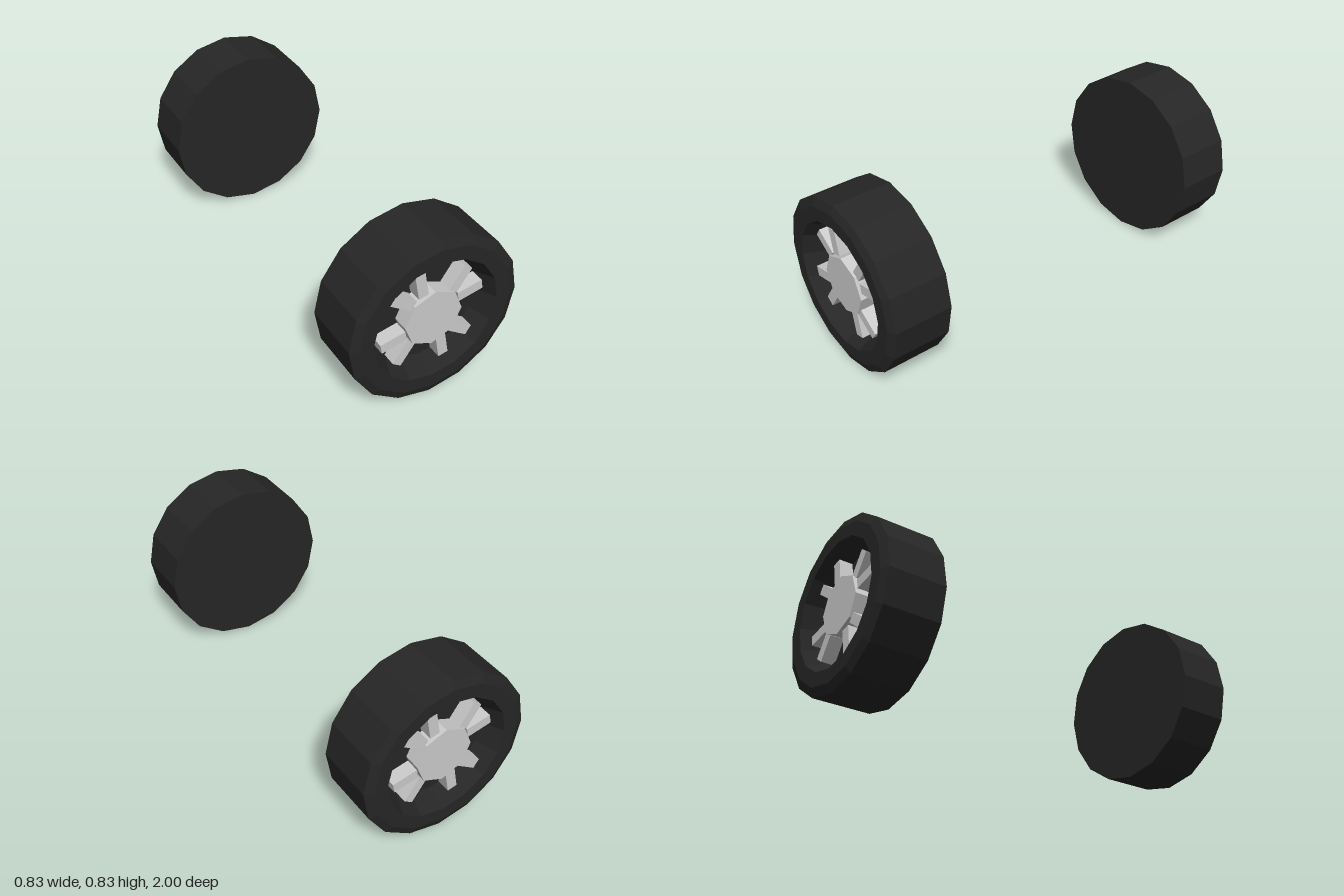
import * as THREE from 'three';

const RADIUS = 0.413;
const FLOOR = 0.9; // depth of the recessed wheel dish

const rubber = new THREE.MeshStandardMaterial({ color: 0x262626, flatShading: true });
const metal = new THREE.MeshStandardMaterial({ color: 0xcccccc, flatShading: true });

function part(name, geometry, material) {
  const mesh = new THREE.Mesh(geometry, material);
  mesh.name = name;
  return mesh;
}

function createWheel(name) {
  const wheel = new THREE.Group();
  wheel.name = name;

  // Tyre: closed back, bevelled shoulder, flat sidewall and sunken dish
  const profile = [
    [0, 0.705], [RADIUS, 0.705], [RADIUS, 0.983], [0.372, 1],
    [0.305, 1], [0.26, FLOOR], [0, FLOOR],
  ].map(([r, z]) => new THREE.Vector2(r, z));
  wheel.add(part('tyre', new THREE.LatheGeometry(profile, 16).rotateX(Math.PI / 2), rubber));

  // Octagonal hub
  const hub = part('hub', new THREE.CylinderGeometry(0.14, 0.14, 0.077, 8).rotateX(Math.PI / 2), metal);
  hub.position.z = FLOOR + 0.0375;
  wheel.add(hub);

  // Four V-shaped pairs of spokes, each spoke set slightly off the centre line
  const spokeGeometry = new THREE.BoxGeometry(0.122, 0.048, 0.066);
  for (let i = 0; i < 4; i++) {
    for (const side of [-1, 1]) {
      const spoke = part('spoke', spokeGeometry, metal);
      const angle = THREE.MathUtils.degToRad(33.5 + i * 90 + side * 22.3);
      spoke.position.set(0.195, -side * 0.025, FLOOR + 0.032);
      spoke.position.applyAxisAngle(new THREE.Vector3(0, 0, 1), angle);
      spoke.rotation.z = angle;
      wheel.add(spoke);
    }
  }
  wheel.position.y = RADIUS;
  return wheel;
}

export function createModel() {
  const model = new THREE.Group();
  model.name = 'wheelPair';
  const front = createWheel('frontWheel');
  const back = createWheel('backWheel');
  back.rotation.y = Math.PI; // outer face turned away from the front wheel
  model.add(front, back);
  return model;
}
